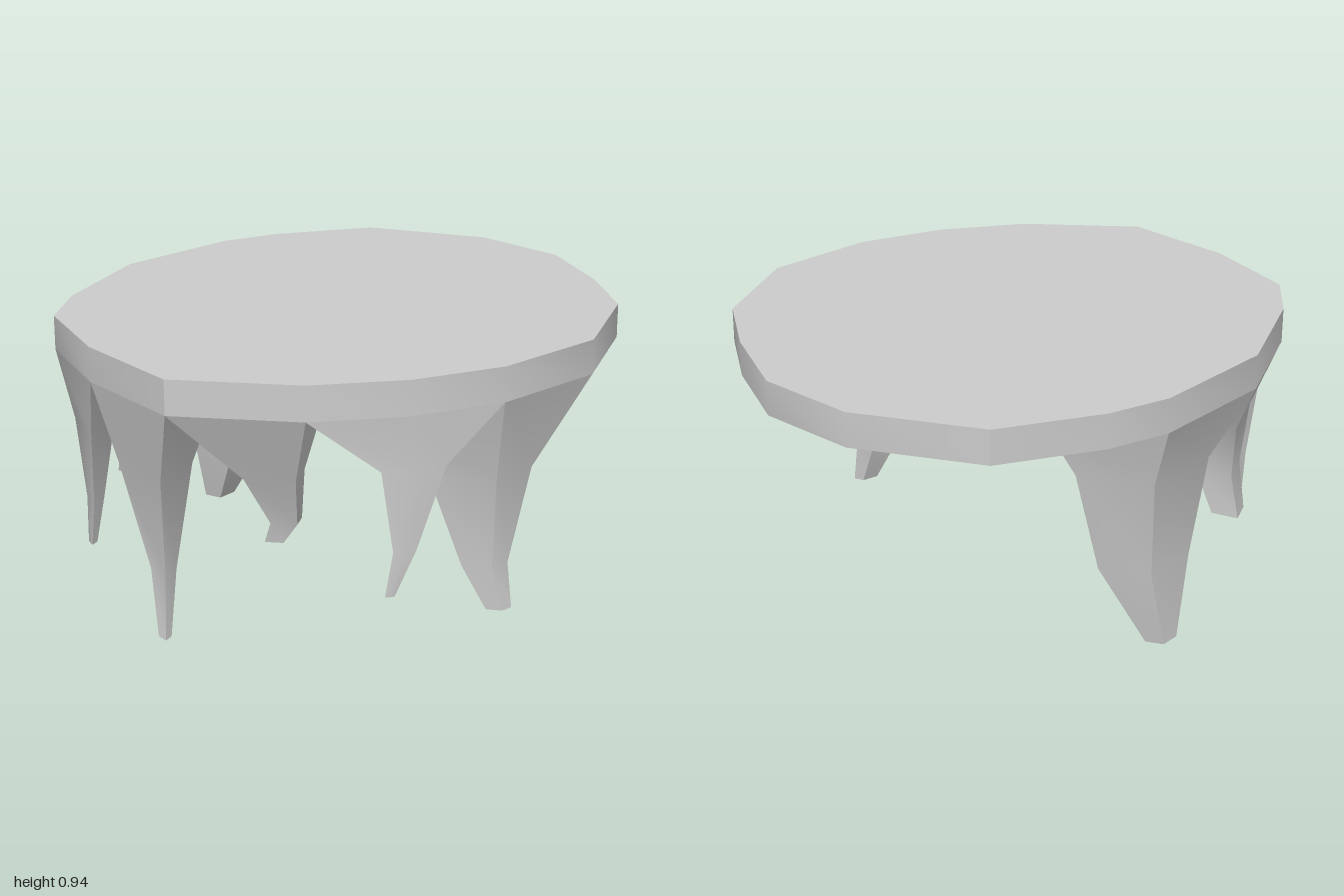
import * as THREE from 'three';
import { toCreasedNormals } from 'three/addons/utils/BufferGeometryUtils.js';

const TOP = 0.945, CEILING = 0.83;

// Slab outline [x, z], counterclockwise from the front when seen from above
const rim = [
  [-0.02, 1.0], [0.37, 0.83], [0.61, 0.62], [0.79, 0.36], [0.9, -0.03], [0.8, -0.44],
  [0.6, -0.68], [0.34, -0.91], [0, -1], [-0.44, -0.91], [-0.69, -0.64], [-0.8, -0.45],
  [-0.9, 0], [-0.82, 0.43], [-0.72, 0.65], [-0.41, 0.86],
];
// Corners under the slab shared by neighbouring spikes
const inner = [[-0.4, -0.53], [-0.47, -0.01], [-0.44, 0.55], [-0.05, 0.66], [0.27, 0.54], [0.53, 0]];

// Each spike: outer rim corners, inner corners, then levels [y, centre x, centre z, scale]
const spikes = [
  ['rightRearSpike', [11, 12], [1, 0], [[0.62, -0.64, -0.275, 0.62], [0.28, -0.65, -0.27, 0.43], [0.01, -0.72, -0.27, 0.15]]],
  ['rightSpike', [12, 13], [2, 1], [[0.62, -0.67, 0.25, 0.5], [0.42, -0.69, 0.25, 0.3], [0.27, -0.74, 0.23, 0.22]]],
  ['rightFrontSpike', [13, 14, 15], [2], [[0.6, -0.6, 0.63, 0.46], [0.32, -0.61, 0.62, 0.2], [0.165, -0.61, 0.64, 0.1]]],
  ['frontLongSpike', [15, 0], [3, 2], [[0.57, -0.23, 0.78, 0.57], [0.2, -0.22, 0.765, 0.2], [0, -0.17, 0.835, 0.1]]],
  ['frontShortSpike', [0, 1], [4, 3], [[0.6, 0.2, 0.73, 0.38], [0.43, 0.205, 0.68, 0.2], [0.36, 0.17, 0.69, 0.14]]],
  ['leftFrontSpike', [1, 2, 3], [4], [[0.65, 0.58, 0.585, 0.33], [0.39, 0.585, 0.62, 0.12], [0.24, 0.555, 0.65, 0.05]]],
  ['leftSpike', [3, 4], [5, 4], [[0.54, 0.66, 0.22, 0.4], [0.22, 0.675, 0.225, 0.18], [0.07, 0.72, 0.215, 0.1]]],
];

// Skin rings of [x, y, z] from top to bottom, closing the ends with fans
function loft(rings, capTop) {
  const n = rings[0].length, pos = [];
  const tri = (a, b, c) => pos.push(...a, ...b, ...c);
  for (let r = 0; r + 1 < rings.length; r++) {
    const a = rings[r], b = rings[r + 1];
    for (let i = 0; i < n; i++) {
      const j = (i + 1) % n;
      tri(a[i], b[i], b[j]);
      tri(a[i], b[j], a[j]);
    }
  }
  const last = rings[rings.length - 1];
  for (let i = 1; i + 1 < n; i++) {
    if (capTop) tri(rings[0][0], rings[0][i], rings[0][i + 1]);
    tri(last[0], last[i + 1], last[i]);
  }
  const geo = new THREE.BufferGeometry();
  geo.setAttribute('position', new THREE.Float32BufferAttribute(pos, 3));
  return toCreasedNormals(geo, 0.6);
}

const atHeight = (points, y) => points.map(([x, z]) => [x, y, z]);

// Base polygon shrunk about its centre and moved to each level
function spikeGeometry(base, levels) {
  const cx = base.reduce((s, p) => s + p[0], 0) / base.length;
  const cz = base.reduce((s, p) => s + p[1], 0) / base.length;
  const rings = levels.map(([y, x, z, k]) =>
    base.map((p) => [x + (p[0] - cx) * k, y, z + (p[1] - cz) * k]));
  return loft([atHeight(base, CEILING), ...rings], false);
}

export function createModel() {
  const model = new THREE.Group();
  model.name = 'hangingSpikeSlab';
  const material = new THREE.MeshStandardMaterial({ color: 0xcccccc });
  const add = (name, geometry) => {
    const mesh = new THREE.Mesh(geometry, material);
    mesh.name = name;
    model.add(mesh);
  };

  // Flat slab
  add('slab', loft([atHeight(rim, TOP), atHeight(rim, CEILING)], true));

  // Tapering spikes below the slab
  for (const [name, outerIds, innerIds, levels] of spikes) {
    const base = [...outerIds.map((i) => rim[i]), ...innerIds.map((i) => inner[i])];
    add(name, spikeGeometry(base, levels));
  }
  return model;
}
